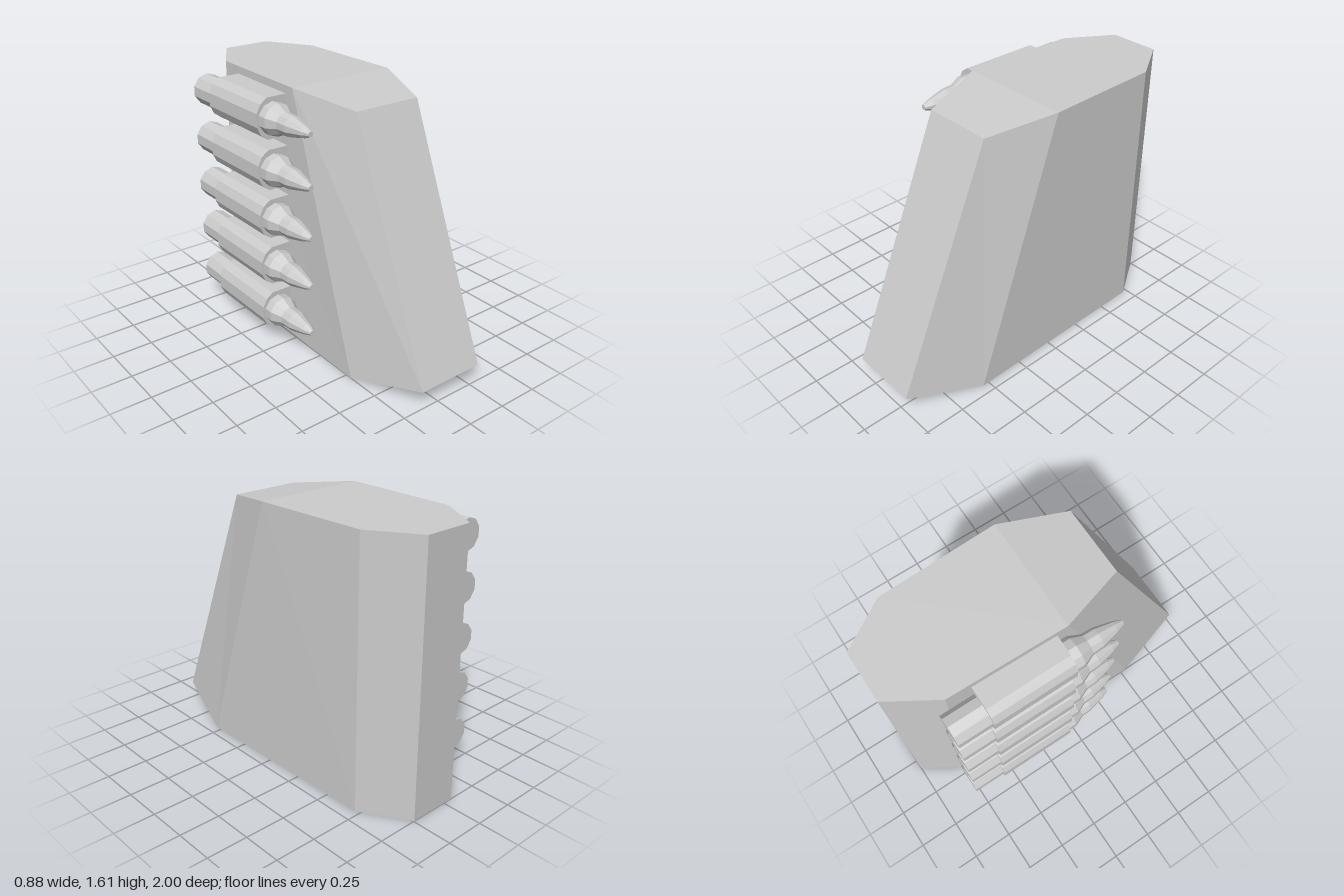
import * as THREE from 'three';

const material = new THREE.MeshStandardMaterial({ color: 0xcccccc, flatShading: true });

// Faceted block lofted through four-cornered sections, from back to front
function loft(sections) {
  const rings = sections.map(({ x0, x1, bottom, top }) => [
    [x0, ...bottom], [x1, ...bottom], [x1, ...top], [x0, ...top],
  ]);
  const pos = [];
  const quad = (a, b, c, d) => pos.push(...a, ...b, ...c, ...a, ...c, ...d);
  for (let s = 0; s < rings.length - 1; s++) {
    const a = rings[s], b = rings[s + 1];
    for (let i = 0; i < 4; i++) {
      const j = (i + 1) % 4;
      quad(a[i], a[j], b[j], b[i]);
    }
  }
  const first = rings[0], last = rings[rings.length - 1];
  quad(first[3], first[2], first[1], first[0]);
  quad(...last);
  const geo = new THREE.BufferGeometry();
  geo.setAttribute('position', new THREE.Float32BufferAttribute(pos, 3));
  geo.computeVertexNormals();
  return geo;
}

function makeMesh(geo, name) {
  const mesh = new THREE.Mesh(geo, material);
  mesh.name = name;
  return mesh;
}

export function createModel() {
  const model = new THREE.Group();
  model.name = 'shellRack';

  // Armoured body; bottom and top are [y, z] pairs
  model.add(makeMesh(loft([
    { x0: -0.06, x1: 0.245, bottom: [0, -1], top: [1.61, -1] },
    { x0: -0.235, x1: 0.42, bottom: [0, -0.72], top: [1.61, -0.72] },
    { x0: -0.25, x1: 0.44, bottom: [0, 0.54], top: [1.61, 0] },
    { x0: -0.12, x1: 0.31, bottom: [0.11, 1], top: [1.55, 0.4] },
  ]), 'body'));

  // Shell: [radius, z] profile turned to point forward
  const profile = [
    [0, -0.78], [0.096, -0.78], [0.096, -0.01], [0.065, 0.06],
    [0.062, 0.13], [0.035, 0.24], [0.016, 0.29], [0, 0.29],
  ].map(([r, z]) => new THREE.Vector2(r, z));
  const shellGeo = new THREE.LatheGeometry(profile, 10).rotateX(Math.PI / 2);

  // Holder: rounded outside, running flat into the body
  const outline = new THREE.Shape([
    [0.12, 0.122], [-0.035, 0.122], [-0.08, 0.09], [-0.105, 0.04],
    [-0.105, -0.04], [-0.08, -0.09], [-0.035, -0.122], [0.12, -0.122],
  ].map(([x, y]) => new THREE.Vector2(x, y)));
  const holderGeo = new THREE.ExtrudeGeometry(outline, { depth: 0.51, bevelEnabled: false })
    .translate(0, 0, -0.575);

  // Column of five shells along the right side
  for (let i = 0; i < 5; i++) {
    const unit = new THREE.Group();
    unit.name = `shellUnit${i + 1}`;
    unit.add(makeMesh(shellGeo, 'shell'), makeMesh(holderGeo, 'holder'));
    unit.position.set(-0.34, 0.215 + i * 0.3065, 0);
    model.add(unit);
  }
  return model;
}
